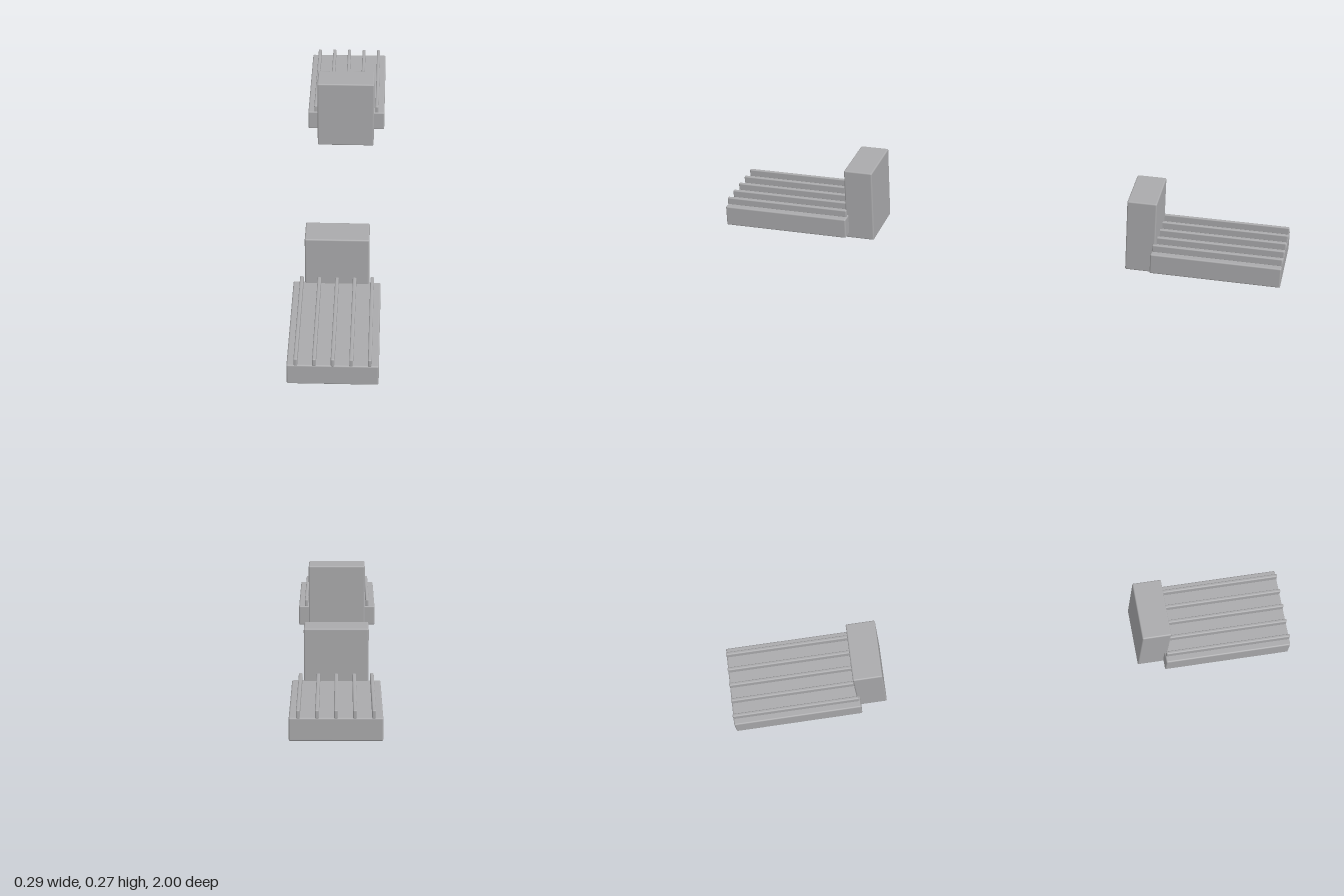
import * as THREE from 'three';
import { RoundedBoxGeometry } from 'three/addons/geometries/RoundedBoxGeometry.js';

const grey = new THREE.MeshStandardMaterial({ color: 0xaaaaac });
grey.name = 'plain grey';

// Rounded box given by its limits on each axis
function block(name, [x0, x1], [y0, y1], [z0, z1], radius) {
  const geometry = new RoundedBoxGeometry(x1 - x0, y1 - y0, z1 - z0, 3, radius);
  const mesh = new THREE.Mesh(geometry, grey);
  mesh.name = name;
  mesh.position.set((x0 + x1) / 2, (y0 + y1) / 2, (z0 + z1) / 2);
  return mesh;
}

// One pedal: an upright block with a ribbed tread reaching outward along +z
function createPedal(name) {
  const pedal = new THREE.Group();
  pedal.name = name;
  pedal.add(block('uprightBlock', [-0.106, 0.106], [0, 0.266], [0.457, 0.56], 0.005));
  pedal.add(block('tread', [-0.145, 0.145], [0.017, 0.091], [0.549, 1], 0.005));

  // Grip ribs along the tread
  for (let i = -2; i <= 2; i++) {
    const x = i * 0.0583;
    pedal.add(block('gripRib', [x - 0.006, x + 0.006], [0.088, 0.116], [0.552, 1], 0.004));
  }
  return pedal;
}

export function createModel() {
  const model = new THREE.Group();
  model.name = 'pedalPair';
  const front = createPedal('frontPedal');
  const back = createPedal('backPedal');
  back.rotation.y = Math.PI;
  model.add(front, back);
  return model;
}
